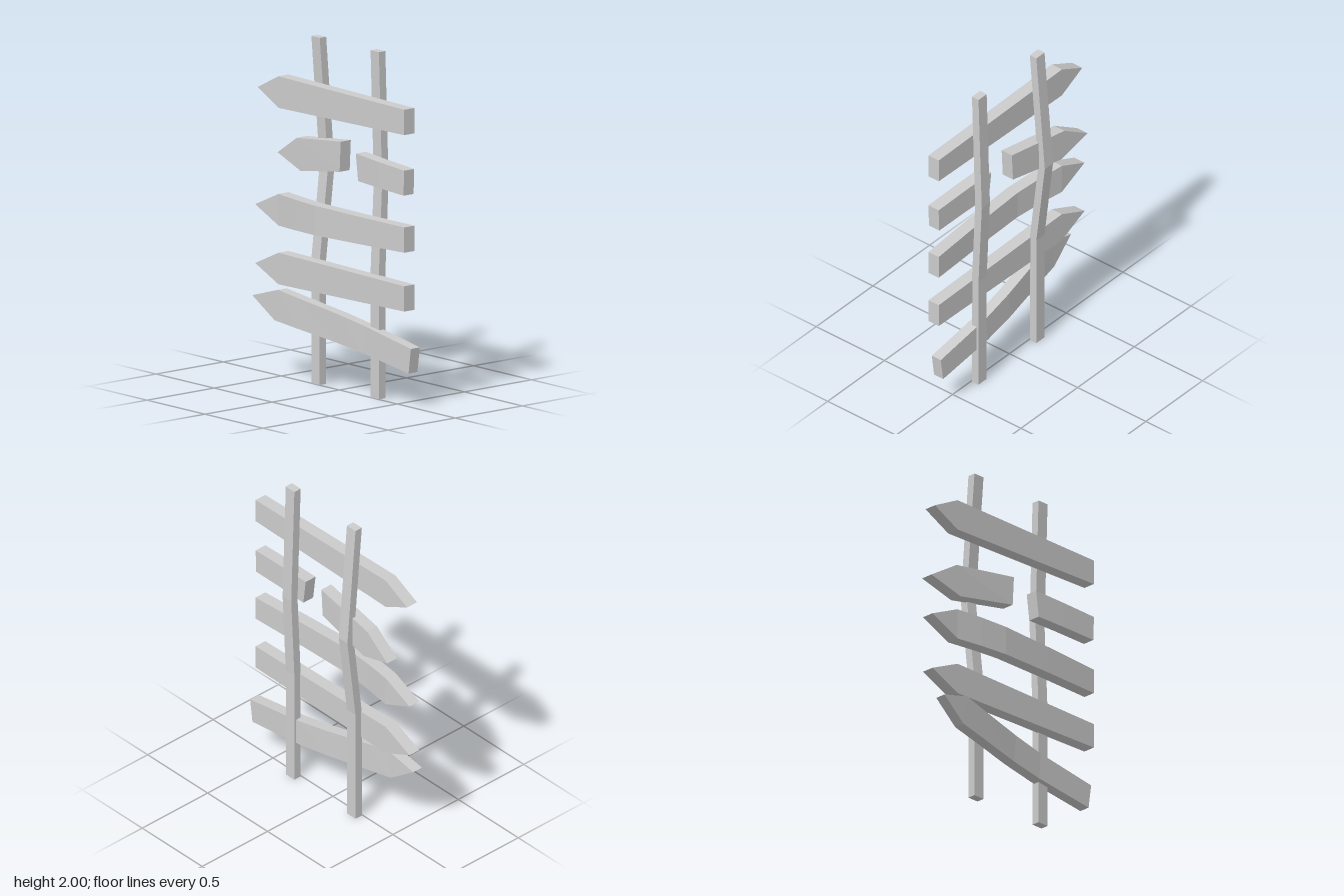
import * as THREE from 'three';

// Skins a row of four-cornered sections, closed at both ends, with flat faces.
// Corners run counter-clockwise as seen from the far end of the row.
function loft(sections) {
  const pos = [];
  const quad = (a, b, c, d) => pos.push(...a, ...b, ...c, ...a, ...c, ...d);
  const first = sections[0], last = sections[sections.length - 1];
  quad(first[0], first[3], first[2], first[1]);
  quad(...last);
  for (let s = 0; s < sections.length - 1; s++) {
    const a = sections[s], b = sections[s + 1];
    for (let i = 0; i < 4; i++) {
      const j = (i + 1) % 4;
      quad(a[i], a[j], b[j], b[i]);
    }
  }
  const geometry = new THREE.BufferGeometry();
  geometry.setAttribute('position', new THREE.Float32BufferAttribute(pos, 3));
  geometry.computeVertexNormals();
  return geometry;
}

// Plank along -z; stations are [z low, y low, z high, y high, x centre]
function plankGeometry(stations, thickness = 0.075) {
  const h = thickness / 2;
  return loft(stations.map(([zl, yl, zh, yh, x]) => [
    [x - h, yl, zl], [x - h, yh, zh], [x + h, yh, zh], [x + h, yl, zl],
  ]));
}

// Post along +y, bowed outwards in the middle
function postGeometry(z, bow) {
  const hx = 0.024, hz = 0.036;
  return loft([[0, 0], [0.72, 0], [1.25, bow], [2, 0]].map(([y, dx]) => {
    const x = 0.029 + dx;
    return [
      [x + hx, y, z + hz], [x + hx, y, z - hz], [x - hx, y, z - hz], [x - hx, y, z + hz],
    ];
  }));
}

// Whole picket: square end, widening shaft, pointed tip; bends are [z, x offset]
function picket(y, tipZ, bends = []) {
  const x = -0.027, start = 0.635, shoulder = -0.45;
  const shaft = [[start, 0], ...bends, [shoulder, 0]].map(([z, dx]) => {
    const half = THREE.MathUtils.mapLinear(z, start, shoulder, 0.073, 0.091);
    return [z, y - half, z, y + half, x + dx];
  });
  return plankGeometry([...shaft, [tipZ, y, tipZ, y, x]]);
}

export function createModel() {
  const group = new THREE.Group();
  const material = new THREE.MeshStandardMaterial({ color: 0xcccccc, flatShading: true });
  const add = (name, geometry) => {
    const mesh = new THREE.Mesh(geometry, material);
    mesh.name = name;
    group.add(mesh);
  };

  // Posts
  add('frontPost', postGeometry(0.3, 0.024));
  add('backPost', postGeometry(-0.21, 0.062));

  // Whole pickets, the middle one warped
  add('topPicket', picket(1.653, -0.63));
  add('warpedPicket', picket(0.975, -0.65, [[0.25, -0.022], [-0.1, -0.035], [-0.28, -0.022]]));
  add('lowerPicket', picket(0.636, -0.65));

  // Snapped picket in two pieces
  add('brokenPicketStub', plankGeometry([
    [0.63, 1.23, 0.635, 1.375, -0.028],
    [0.4, 1.238, 0.4, 1.388, -0.02],
    [0.215, 1.245, 0.195, 1.4, -0.008],
  ]));
  add('brokenPicketTip', plankGeometry([
    [0.03, 1.265, 0.04, 1.44, 0.014],
    [-0.35, 1.205, -0.38, 1.39, 0.05],
    [-0.565, 1.275, -0.565, 1.275, 0.066],
  ]));

  // Loose, tilted and curved bottom picket
  add('tiltedPicket', plankGeometry([
    [0.63, 0.2, 0.65, 0.345, 0.005],
    [0.24, 0.253, 0.25, 0.412, 0.007],
    [0.02, 0.283, 0.04, 0.448, -0.009],
    [-0.28, 0.323, -0.27, 0.5, -0.05],
    [-0.44, 0.345, -0.41, 0.525, -0.069],
    [-0.61, 0.465, -0.61, 0.465, -0.088],
  ], 0.066));

  return group;
}
